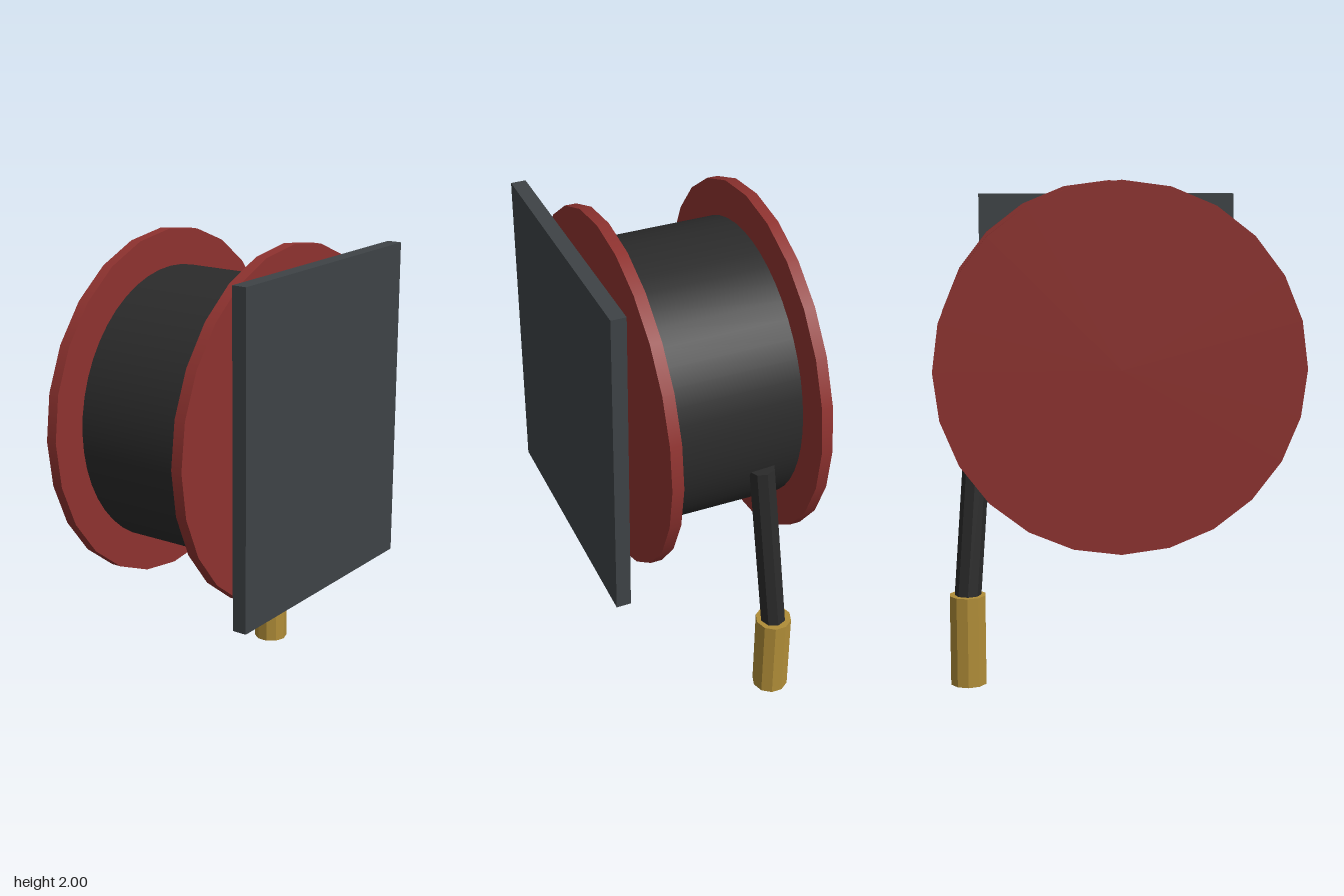
import * as THREE from 'three';

const mat = (color, flatShading = false) => new THREE.MeshStandardMaterial({ color, flatShading });

export function createModel() {
  const model = new THREE.Group();
  const red = mat(0x8e322f);
  const steel = mat(0x3e4346, true);
  const rubber = mat(0x2b2b2b);
  const rubberFlat = mat(0x2b2b2b, true);
  const brass = mat(0xb08d38, true);
  const axisY = 1.275;

  const add = (name, geometry, material, x, y, z) => {
    const mesh = new THREE.Mesh(geometry, material);
    mesh.name = name;
    mesh.position.set(x, y, z);
    model.add(mesh);
    return mesh;
  };

  // Cylinder lying along z on the reel axis, from z0 to z1
  const reelPart = (name, radius, z0, z1, sides, material) => {
    const geometry = new THREE.CylinderGeometry(radius, radius, z1 - z0, sides).rotateX(Math.PI / 2);
    return add(name, geometry, material, 0, axisY, (z0 + z1) / 2);
  };

  // Mounting plate and axle
  add('mountingPlate', new THREE.BoxGeometry(1.09, 1.335, 0.06), steel, 0, 1.277, 0.375);
  reelPart('axle', 0.088, -0.37, 0.36, 10, steel);

  // Two flanges with the wound hose between them
  reelPart('frontFlange', 0.725, 0.2, 0.247, 24, red);
  reelPart('backFlange', 0.725, -0.405, -0.36, 24, red);
  reelPart('woundHose', 0.575, -0.355, 0.193, 48, rubber);

  // Loose hose end, leaning out from the reel into the nozzle
  const top = new THREE.Vector3(0.547, 1.127, -0.203);
  const bottom = new THREE.Vector3(0.605, 0.34, -0.262);
  const along = top.clone().sub(bottom);
  const middle = top.clone().add(bottom).multiplyScalar(0.5);
  const hose = add('hoseEnd', new THREE.CylinderGeometry(0.053, 0.053, along.length(), 8),
    rubberFlat, middle.x, middle.y, middle.z);
  hose.quaternion.setFromUnitVectors(new THREE.Vector3(0, 1, 0), along.normalize());

  // Brass nozzle
  add('nozzle', new THREE.CylinderGeometry(0.074, 0.074, 0.365, 10), brass, 0.605, 0.1825, -0.262);

  return model;
}
